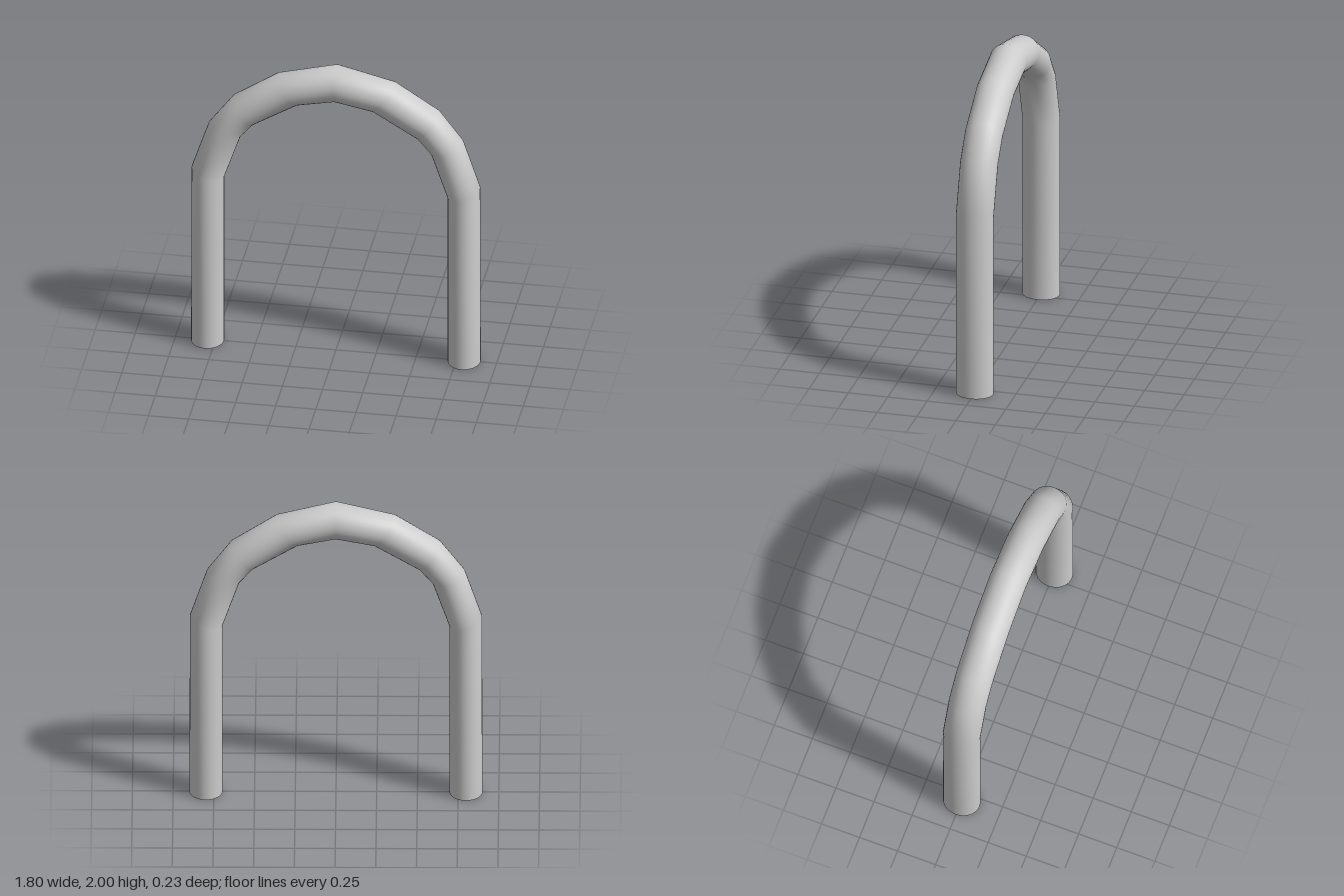
import * as THREE from 'three';

const SIDES = 32;
const HALF_DEPTH = 0.117;

// Mitre joints of one half of the arch: outer x, outer y, inner x, inner y
const HALF = [
  [0.9, 0, 0.697, 0],
  [0.897, 1.22, 0.697, 1.155],
  [0.793, 1.53, 0.592, 1.46],
  [0.642, 1.73, 0.51, 1.555],
  [0.37, 1.907, 0.23, 1.722],
];
const TOP = [0, 2, 0, 1.766];

// Skin a tube through elliptical rings, each spanning its outer and inner joint
function skinRings(rings) {
  const positions = [];
  const index = [];
  rings.forEach(([ox, oy, ix, iy], i) => {
    for (let j = 0; j < SIDES; j++) {
      const a = (j / SIDES) * Math.PI * 2;
      const t = (1 + Math.cos(a)) / 2;
      positions.push(ix + (ox - ix) * t, iy + (oy - iy) * t, Math.sin(a) * HALF_DEPTH);
      if (i === rings.length - 1) continue;
      const p = i * SIDES + j;
      const q = i * SIDES + ((j + 1) % SIDES);
      index.push(p, q, p + SIDES, q, q + SIDES, p + SIDES);
    }
  });
  const geometry = new THREE.BufferGeometry();
  geometry.setAttribute('position', new THREE.Float32BufferAttribute(positions, 3));
  geometry.setIndex(index);
  geometry.computeVertexNormals();
  return geometry;
}

export function createModel() {
  const group = new THREE.Group();
  group.name = 'archedTube';

  // Up the right leg, over the crown and down the left leg; the feet are open
  const mirrored = HALF.map(([ox, oy, ix, iy]) => [-ox, oy, -ix, iy]);
  const rings = [...mirrored, TOP, ...[...HALF].reverse()];

  const material = new THREE.MeshStandardMaterial({ color: 0xcccccc, side: THREE.DoubleSide });
  const arch = new THREE.Mesh(skinRings(rings), material);
  arch.name = 'arch';
  group.add(arch);
  return group;
}
